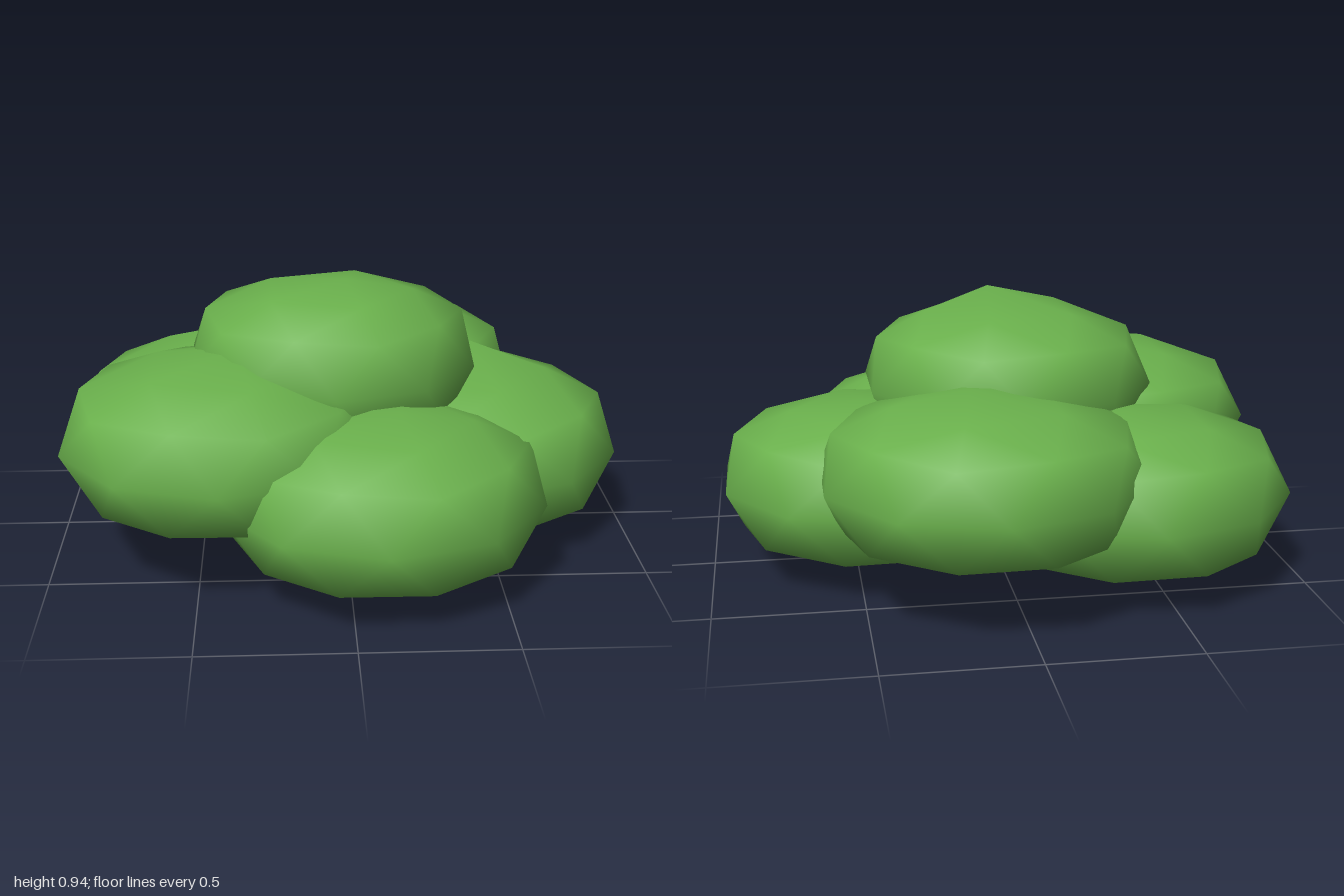
import * as THREE from 'three';
import { mergeVertices } from 'three/addons/utils/BufferGeometryUtils.js';

// Smooth low-poly puff: a squashed icosphere standing on a vertex, with its pole tips off centre
function puffGeometry(radius, height, leanX, leanZ) {
  let geo = new THREE.IcosahedronGeometry(1, 1);
  geo.rotateZ(-Math.atan(2 / (1 + Math.sqrt(5))));
  geo.deleteAttribute('normal');
  geo.deleteAttribute('uv');
  geo = mergeVertices(geo, 1e-3);
  const p = geo.attributes.position;
  for (let i = 0; i < p.count; i++) {
    const y = p.getY(i);
    const a = Math.abs(y);
    // full shoulders, conical caps
    const shaped = y * (1 + 1.8 * (0.62 - a) * (1 - a));
    // only the tips lean noticeably
    const bend = Math.pow(y, 9);
    p.setXYZ(
      i,
      (p.getX(i) + leanX * bend) * radius,
      shaped * height,
      (p.getZ(i) + leanZ * bend) * radius
    );
  }
  geo.computeVertexNormals();
  return geo;
}

export function createModel() {
  const group = new THREE.Group();
  group.name = 'bush';
  const leaf = new THREE.MeshStandardMaterial({ color: 0x6ab04c });
  leaf.name = 'leaf green';

  // name, centre, radius, half height, lean of the tips in x and z
  const puffs = [
    ['frontPuff', [0.1, 0.304, 0.443], 0.557, 0.304, 0.1, 0.2],
    ['backPuff', [0.1, 0.43, -0.443], 0.557, 0.3, 0.1, -0.1],
    ['leftPuff', [0.415, 0.31, 0], 0.557, 0.31, 0.1, -0.3],
    ['rightFrontPuff', [-0.42, 0.435, 0.273], 0.557, 0.305, 0.1, 0],
    ['rightBackPuff', [-0.42, 0.31, -0.273], 0.557, 0.31, 0.1, -0.3],
    ['topPuff', [-0.045, 0.635, 0.02], 0.51, 0.307, 0.09, 0.26],
  ];
  for (const [name, centre, radius, height, leanX, leanZ] of puffs) {
    const mesh = new THREE.Mesh(puffGeometry(radius, height, leanX, leanZ), leaf);
    mesh.name = name;
    mesh.position.set(...centre);
    group.add(mesh);
  }
  return group;
}
